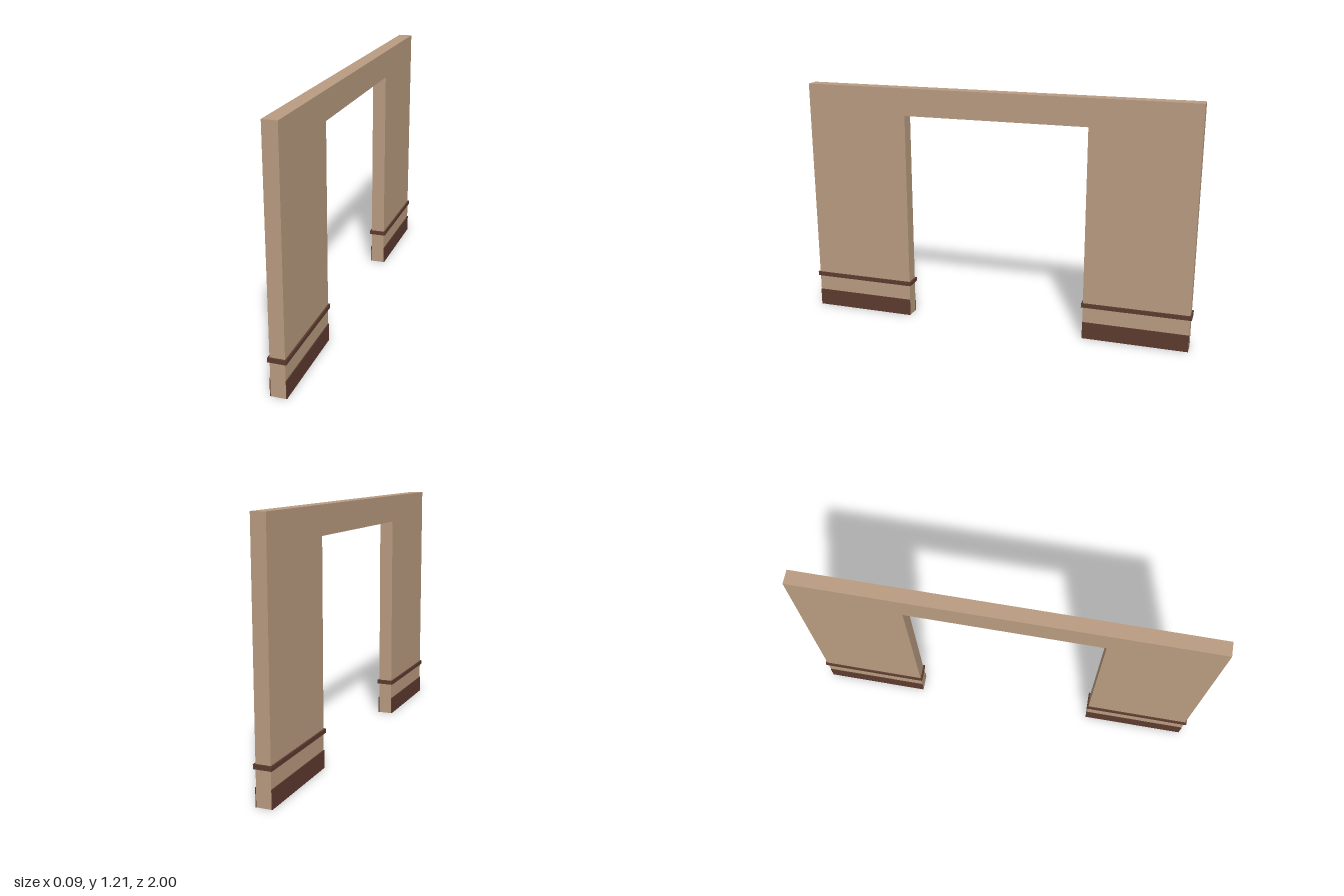
import * as THREE from 'three';

export function createModel() {
  const group = new THREE.Group();
  const plaster = new THREE.MeshStandardMaterial({ color: 0xb89b80 });
  plaster.name = 'tan plaster';
  const wood = new THREE.MeshStandardMaterial({ color: 0x5c3a2e });
  wood.name = 'dark wood';

  const height = 1.213, halfLength = 0.992, halfWall = 0.035;
  const halfOpening = 0.466, openingTop = 1.075;

  // Wall with a doorway: outline drawn along z, extruded through x
  const outline = new THREE.Shape([
    [-halfLength, 0], [-halfOpening, 0], [-halfOpening, openingTop],
    [halfOpening, openingTop], [halfOpening, 0], [halfLength, 0],
    [halfLength, height], [-halfLength, height],
  ].map(([z, y]) => new THREE.Vector2(z, y)));
  const wallGeometry = new THREE.ExtrudeGeometry(outline, { depth: halfWall * 2, bevelEnabled: false });
  wallGeometry.translate(0, 0, -halfWall).rotateY(Math.PI / 2);
  const wall = new THREE.Mesh(wallGeometry, plaster);
  wall.name = 'wall';
  group.add(wall);

  const addBox = (name, w, h, d, x, y, z) => {
    const mesh = new THREE.Mesh(new THREE.BoxGeometry(w, h, d), wood);
    mesh.name = name;
    mesh.position.set(x, y, z);
    group.add(mesh);
  };

  // Trim on both wall piers
  const pierLength = halfLength - halfOpening;
  const pierCentre = (halfLength + halfOpening) / 2;
  const lip = 0.008, boardHeight = 0.087, boardDepth = 0.004;
  for (const end of [1, -1]) {
    const endName = end > 0 ? 'front' : 'back';
    // Chair rail wraps the whole pier
    addBox(endName + 'ChairRail', (halfWall + lip) * 2, 0.021, pierLength + lip * 2, 0, 0.178, end * pierCentre);
    // Baseboards on the two broad faces
    for (const side of [1, -1]) {
      addBox(endName + (side > 0 ? 'Left' : 'Right') + 'Baseboard', boardDepth, boardHeight, pierLength,
        side * (halfWall + boardDepth / 2), boardHeight / 2, end * pierCentre);
    }
  }
  return group;
}
